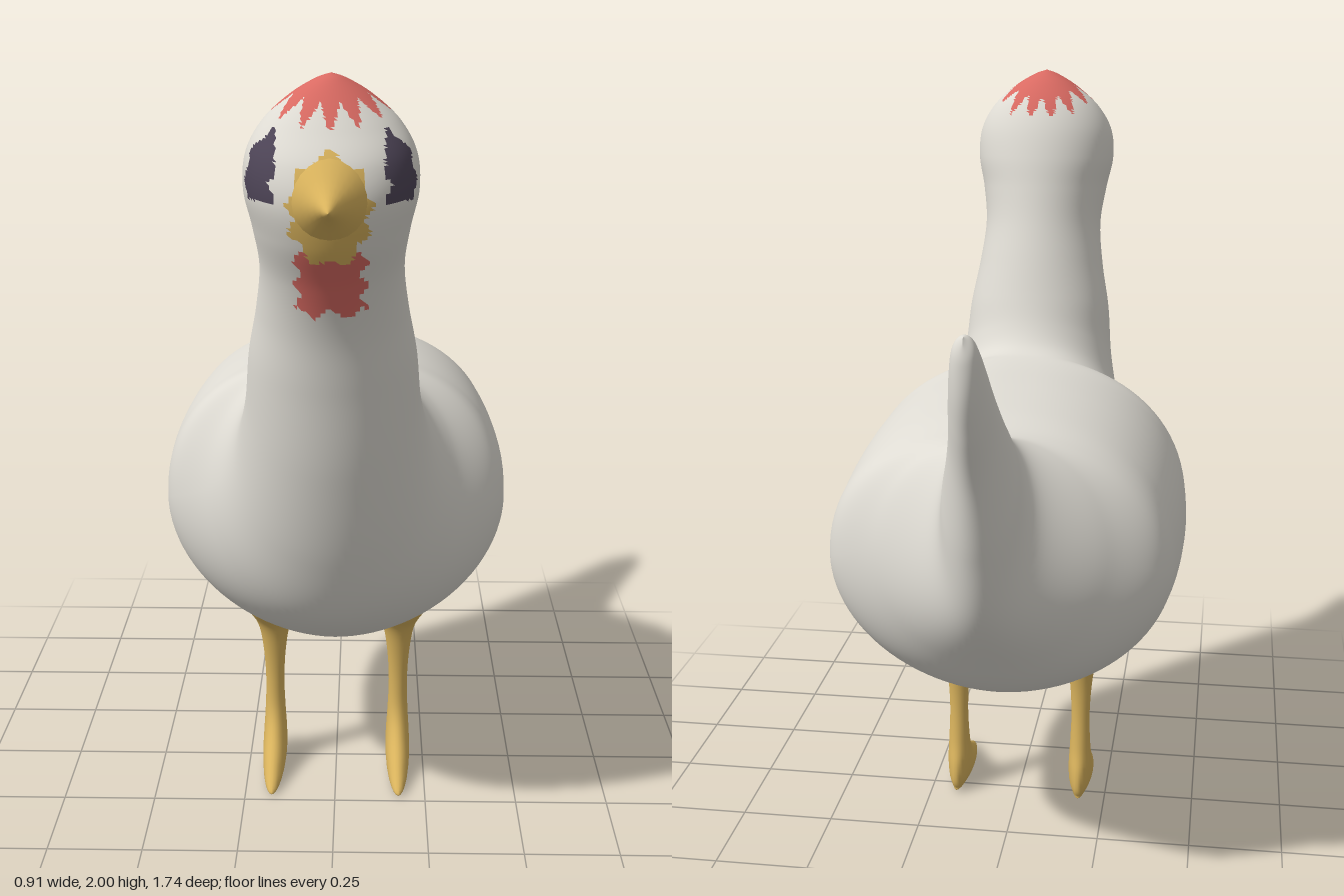
import * as THREE from 'three';

const mat = (name, color) => {
  const m = new THREE.MeshStandardMaterial({ color });
  m.name = name;
  return m;
};

// Skin over sections [upper z, y, lower z, y, half width, roundness exponent]
function loft(sections, steps, sides) {
  const curve = (f) => new THREE.CatmullRomCurve3(sections.map(f), false, 'catmullrom', 0.5);
  const upper = curve((s) => new THREE.Vector3(0, s[1], s[0]));
  const lower = curve((s) => new THREE.Vector3(0, s[3], s[2]));
  const shape = curve((s) => new THREE.Vector3(s[4], s[5] ?? 2, 0));
  const pos = [], idx = [];
  const rings = (sections.length - 1) * steps;
  for (let i = 0; i <= rings; i++) {
    const t = i / rings;
    const u = upper.getPoint(t), l = lower.getPoint(t), s = shape.getPoint(t);
    for (let j = 0; j < sides; j++) {
      const a = (j / sides) * Math.PI * 2;
      // Full above, leaner below
      const n = j * 2 > sides ? 2 - (s.y - 2) / 2 : s.y;
      const bend = (v) => Math.sign(v) * Math.abs(v) ** (2 / n);
      const k = (bend(Math.sin(a)) + 1) / 2;
      pos.push(Math.max(s.x, 0) * bend(Math.cos(a)), l.y + (u.y - l.y) * k, l.z + (u.z - l.z) * k);
      if (i === rings) continue;
      const p = i * sides + j, q = i * sides + ((j + 1) % sides);
      idx.push(p, q, p + sides, q, q + sides, p + sides);
    }
  }
  const g = new THREE.BufferGeometry();
  g.setAttribute('position', new THREE.Float32BufferAttribute(pos, 3));
  g.setIndex(idx);
  g.computeVertexNormals();
  return g;
}

// Zigzag from 0 to 1 for ragged patch edges
const zigzag = (v) => Math.abs((((v % 1) + 1) % 1) * 2 - 1);

// Which painted patch a point of the skin belongs to
function patchAt(x, y, z) {
  const ax = Math.abs(x);
  if (y > 1.88) {
    const angle = Math.atan2(x, z - 0.56) / (Math.PI * 2);
    if (Math.hypot(x, z - 0.56) < 0.085 + 0.05 * zigzag(angle * 13)) return 'comb';
  }
  if (y > 1.74 && y < 1.89 && ax > 0.118) {
    const wobble = 0.02 * zigzag(y * 16);
    if (z > 0.632 + wobble && z < 0.712 + wobble) return 'eyes';
  }
  if (z > 0.6) {
    const angle = Math.atan2(x, y - 1.725) / (Math.PI * 2);
    if (Math.hypot(x / 0.085, (y - 1.725) / 0.115) < 0.88 + 0.27 * zigzag(angle * 9)) return 'beakBase';
    if (y < 1.64 && y > 1.5 - 0.03 * zigzag(x * 14 + 0.5) && ax < 0.06 + 0.025 * zigzag(y * 18)) return 'wattle';
  }
  return 'body';
}

export function createModel() {
  const white = mat('feather white', 0xdedbd3);
  const yellow = mat('beak yellow', 0xd8b25c);
  const red = mat('comb red', 0xd96a62);
  const dark = mat('eye dark', 0x4d4456);
  const model = new THREE.Group();
  model.name = 'hen';
  const add = (name, geometry, material) => {
    const m = new THREE.Mesh(geometry, material);
    m.name = name;
    model.add(m);
    return m;
  };

  // One continuous skin: tail tip, body, breast, neck, crown
  const skin = loft([
    [-0.855, 1.54, -0.86, 1.53, 0],
    [-0.83, 1.54, -0.87, 1.48, 0.025],
    [-0.79, 1.515, -0.868, 1.4, 0.036],
    [-0.74, 1.47, -0.845, 1.31, 0.045],
    [-0.66, 1.39, -0.80, 1.18, 0.058],
    [-0.57, 1.3, -0.76, 1.0, 0.085],
    [-0.50, 1.235, -0.70, 0.82, 0.125],
    [-0.45, 1.205, -0.58, 0.66, 0.285],
    [-0.395, 1.2, -0.45, 0.53, 0.418, 2.15],
    [-0.28, 1.222, -0.28, 0.46, 0.444, 2.2],
    [-0.1, 1.238, -0.1, 0.44, 0.455, 2.2],
    [0.06, 1.245, 0.08, 0.447, 0.453, 2.2],
    [0.14, 1.252, 0.24, 0.495, 0.428, 2.2],
    [0.175, 1.262, 0.41, 0.62, 0.315, 2.1],
    [0.205, 1.285, 0.51, 0.81, 0.25],
    [0.235, 1.33, 0.58, 1.06, 0.215],
    [0.265, 1.4, 0.618, 1.28, 0.2],
    [0.302, 1.5, 0.645, 1.42, 0.178],
    [0.338, 1.6, 0.69, 1.54, 0.166],
    [0.365, 1.69, 0.745, 1.645, 0.178],
    [0.388, 1.77, 0.767, 1.735, 0.195],
    [0.42, 1.85, 0.747, 1.815, 0.188],
    [0.46, 1.915, 0.695, 1.885, 0.15],
    [0.505, 1.963, 0.645, 1.945, 0.09],
    [0.545, 1.99, 0.605, 1.985, 0.035],
    [0.575, 2.0, 0.577, 2.0, 0],
  ], 11, 96);

  // Split the skin's faces into painted patches that share its smooth normals
  const faces = { body: [], comb: [], eyes: [], beakBase: [], wattle: [] };
  const p = skin.attributes.position, index = skin.index.array;
  for (let i = 0; i < index.length; i += 3) {
    const tri = [index[i], index[i + 1], index[i + 2]];
    const mid = (get) => tri.reduce((sum, v) => sum + p[get](v), 0) / 3;
    faces[patchAt(mid('getX'), mid('getY'), mid('getZ'))].push(...tri);
  }
  const paint = { body: white, comb: red, eyes: dark, beakBase: yellow, wattle: red };
  for (const [name, list] of Object.entries(faces)) {
    const g = new THREE.BufferGeometry();
    g.setAttribute('position', skin.attributes.position);
    g.setAttribute('normal', skin.attributes.normal);
    g.setIndex(list);
    add(name, g, paint[name]);
  }

  // Pointed beak flaring smoothly out of the face
  const profile = [[0.095, -0.035], [0.078, -0.012], [0.06, 0.008], [0.045, 0.028], [0.03, 0.05], [0.018, 0.075], [0.01, 0.098], [0, 0.108]];
  const beak = new THREE.LatheGeometry(profile.map(([r, h]) => new THREE.Vector2(r, h)), 24);
  beak.rotateX(Math.PI / 2).translate(0, 1.745, 0.765);
  add('beak', beak, yellow);

  // Legs flowing into wedge-shaped feet
  const leg = loft([
    [0.13, 0.535, -0.12, 0.535, 0.105],
    [0.09, 0.475, -0.08, 0.475, 0.075],
    [0.052, 0.425, -0.038, 0.425, 0.046],
    [0.035, 0.35, -0.022, 0.35, 0.032],
    [0.03, 0.25, -0.022, 0.25, 0.026],
    [0.042, 0.16, -0.036, 0.15, 0.029],
    [0.085, 0.1, -0.056, 0.085, 0.033],
    [0.165, 0.05, -0.063, 0.04, 0.034],
    [0.232, 0.014, -0.058, 0.016, 0.028],
    [0.21, 0.003, -0.045, 0.006, 0.016],
    [0.09, 0.001, 0.08, 0.001, 0],
  ], 6, 24);
  for (const side of [1, -1]) {
    add(side > 0 ? 'leftLeg' : 'rightLeg', leg, yellow).position.x = side * 0.176;
  }
  return model;
}
